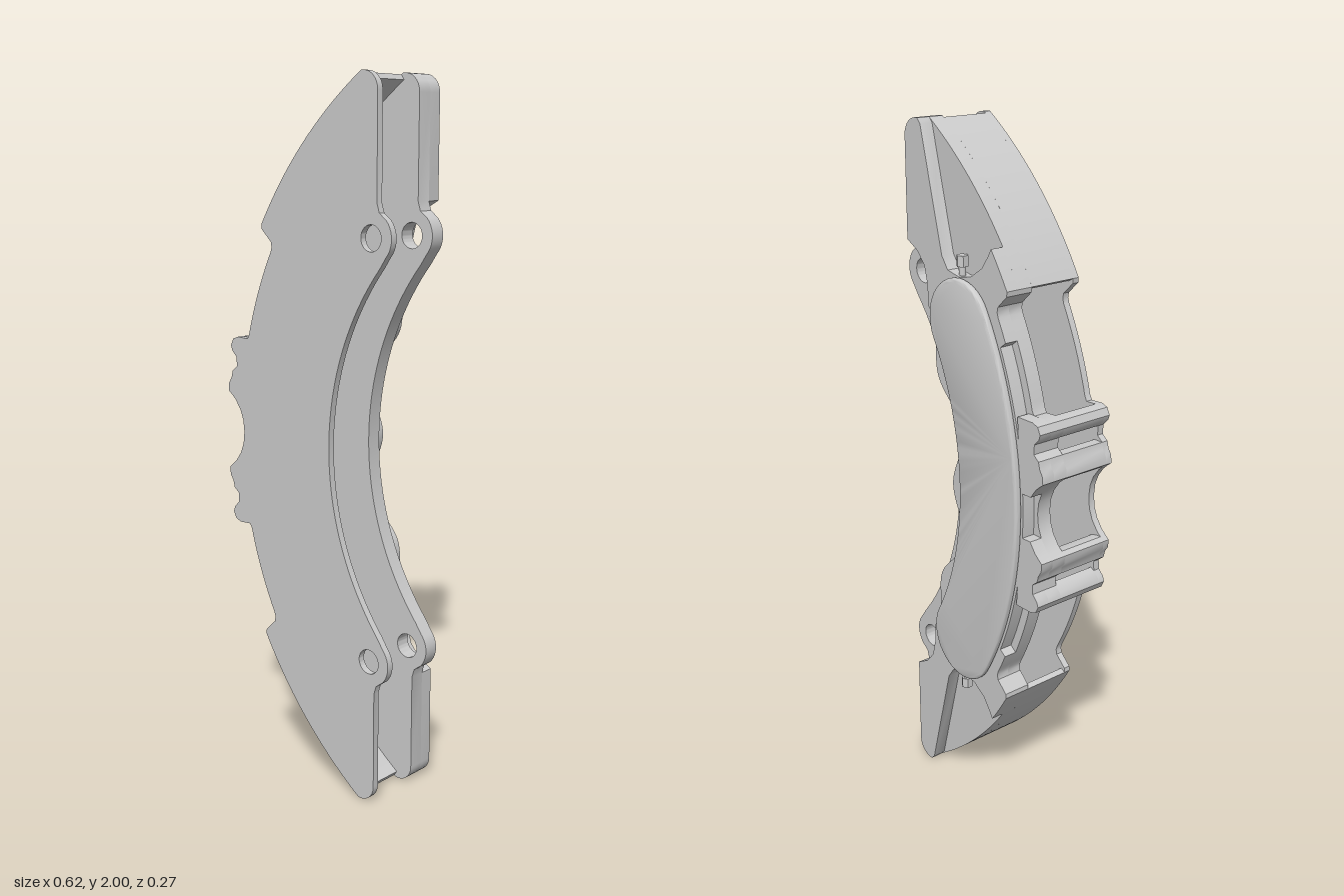
import * as THREE from 'three';
import { toCreasedNormals } from 'three/addons/utils/BufferGeometryUtils.js';

const CX = 0.88, CY = 1; // common centre of all arcs

const polar = (r, a) => [CX - r * Math.cos(a), CY + r * Math.sin(a)];

function arc(r, a0, a1, n = 20) {
  const pts = [];
  for (let i = 0; i <= n; i++) {
    const a = a0 + (a1 - a0) * i / n;
    pts.push(polar(typeof r === 'function' ? r(a) : r, a));
  }
  return pts;
}

function circle(x, y, r, a0, a1, n = 10) {
  const pts = [];
  for (let i = 0; i <= n; i++) {
    const a = a0 + (a1 - a0) * i / n;
    pts.push([x + r * Math.cos(a), y + r * Math.sin(a)]);
  }
  return pts;
}

const toShape = pts => new THREE.Shape(pts.map(p => new THREE.Vector2(p[0], p[1])));
const flip = pts => pts.map(([x, y]) => [x, 2 * CY - y]).reverse();

// Closes an upper-half outline with its mirror image, dropping doubled midline points
const mirrored = pts => toShape([...pts, ...flip(pts).slice(1, -1)]);

export function createModel() {
  const group = new THREE.Group();
  const material = new THREE.MeshStandardMaterial({ color: 0xcccccc });

  function add(name, geometry) {
    const mesh = new THREE.Mesh(geometry, material);
    mesh.name = name;
    group.add(mesh);
    return mesh;
  }

  function slab(name, shape, z0, z1, bevel = 0) {
    const geo = new THREE.ExtrudeGeometry(shape, {
      depth: z1 - z0 - 2 * bevel, curveSegments: 24, bevelEnabled: bevel > 0,
      bevelThickness: bevel, bevelSize: bevel, bevelOffset: -bevel, bevelSegments: 4,
    });
    geo.translate(0, 0, z0 + bevel);
    return add(name, toCreasedNormals(geo, 0.6));
  }

  // Outline of both plates: inner arc, ear, rounded tip, outer arc, notch, teeth
  const tip = [...circle(0.21, 1.95, 0.05, 0, Math.PI / 2 + 0.15, 8)];
  const teeth = [
    [-0.27, 1.277], [-0.29, 1.27], [-0.3, 1.25], [-0.295, 1.235], [-0.278, 1.218],
    [-0.276, 1.19], [-0.295, 1.175], [-0.3, 1.155], [-0.311, 1.138], [-0.313, 1.115],
    [-0.3, 1.105],
  ];
  const plate = mirrored([
    ...arc(0.79, 0, 0.69),
    ...circle(0.24, 1.58, 0.07, -0.75, 0.75),
    [0.268, 1.645], [0.26, 1.67],
    ...tip,
    ...arc(1.207, 0.972, 0.522),
    [-0.165, 1.588], [-0.13, 1.555], [-0.127, 1.54],
    ...arc(1.14, 0.48, 0.255, 12),
    [-0.23, 1.275],
    ...teeth,
    [-0.285, 1.092], [-0.265, 1.065], [-0.253, 1.035], [-0.249, 1],
  ]);
  for (const y of [1.58, 0.42]) {
    plate.holes.push(new THREE.Path().absarc(0.24, y, 0.035, 0, Math.PI * 2, true));
  }
  slab('frontPlate', plate, 0.115, 0.135);
  slab('backPlate', plate, -0.075, -0.03);

  // Raised body on the back plate: scalloped inner edge, tip ribs and end pockets
  slab('raisedBody', mirrored([
    ...arc(a => 0.84 - 0.03 * Math.cos(a * 2 * Math.PI / 0.39), 0, 0.585, 36),
    [0.17, 1.5], [0.172, 1.56], [0.185, 1.61], [0.215, 1.645], [0.26, 1.67],
    ...tip,
    [0.19, 1.985], [0.105, 1.65], [0.08, 1.615],
    [0.03, 1.605], [-0.02, 1.615], [-0.065, 1.645], [-0.09, 1.68],
    ...arc(1.207, 0.62, 0.522, 6),
    [-0.165, 1.588], [-0.13, 1.555], [-0.127, 1.54],
    ...arc(1.14, 0.48, 0.42, 4),
    ...arc(1.115, 0.415, 0, 16),
  ]), -0.115, -0.075);

  // Bean-shaped cover with rounded rim
  const end = 0.509, half = 0.125, mid = 0.985;
  const [ex, ey] = polar(mid, end);
  slab('backCover', mirrored([
    ...arc(mid - half, 0, end, 24),
    ...circle(ex, ey, half, -end, Math.PI - end, 20).slice(1, -1),
    ...arc(mid + half, end, 0, 24),
  ]), -0.135, -0.113, 0.01);

  // Curved bridge walls and tooth bars joining the plates, at both ends
  const wall = [...arc(1.207, 0.97, 0.522, 24), ...arc(1.19, 0.522, 0.97, 24)];
  const bars = [
    [[-0.265, 1.277], ...teeth.slice(0, 5), [-0.265, 1.212]],
    [[-0.265, 1.175], ...teeth.slice(6), [-0.285, 1.105], [-0.265, 1.11]],
  ];
  const toothBase = [
    [-0.21, 1.277], ...teeth, [-0.285, 1.092], [-0.265, 1.065], [-0.225, 1.065],
  ];
  for (const side of ['upper', 'lower']) {
    const place = pts => toShape(side === 'upper' ? pts : flip(pts));
    slab(side + 'BridgeWall', place(wall), -0.03, 0.115);
    for (const bar of bars) slab(side + 'ToothBar', place(bar), -0.03, 0.115);
    slab(side + 'ToothBlock', place(toothBase), -0.115, -0.075);

    // Hex screw standing in the pocket
    const s = side === 'upper' ? 1 : -1;
    const nipple = add(side + 'Screw', toCreasedNormals(new THREE.CylinderGeometry(0.017, 0.017, 0.03, 6), 0.5));
    nipple.position.set(0.04, CY + s * 0.645, -0.096);
    const stem = add(side + 'ScrewStem', new THREE.CylinderGeometry(0.01, 0.01, 0.05, 16));
    stem.position.set(0.04, CY + s * 0.62, -0.096);
  }
  return group;
}
